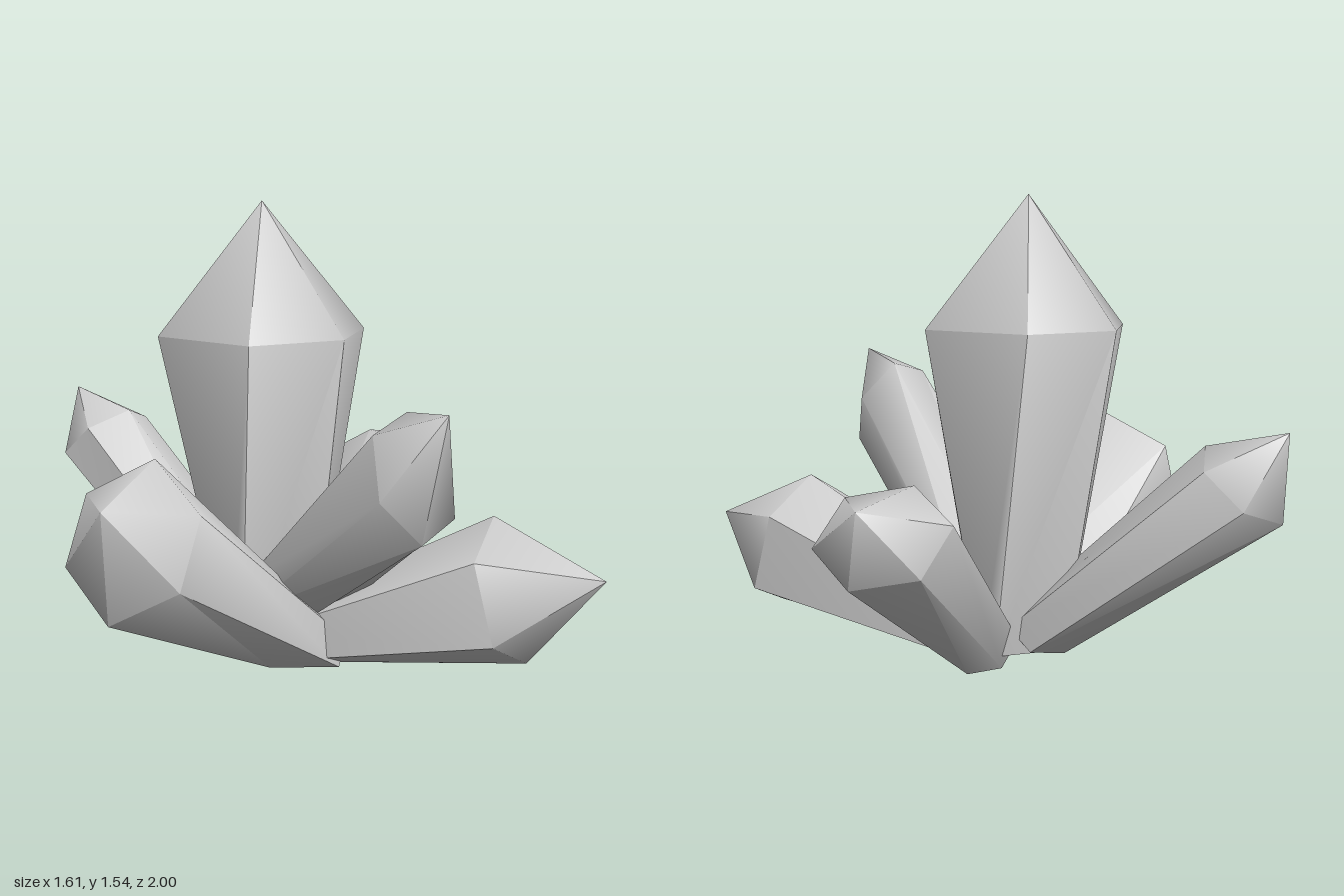
import * as THREE from 'three';
import { toCreasedNormals } from 'three/addons/utils/BufferGeometryUtils.js';

const CREASE = THREE.MathUtils.degToRad(57);

// Each crystal: shoulder centre, half-axes up and side, tip, root centre, root scale of [side, up],
// and how far along up the side corners sit at [shoulder, root]
const CRYSTALS = [
  { name: 'centreCrystal', ring: [-0.045, 1.12, -0.11], up: [0, 0, 0.325], side: [0.295, 0, 0],
    tip: [-0.05, 1.54, -0.11], root: [-0.02, 0.08, -0.1], scale: [0.62, 0.52], corner: [0.58, 0.15] },
  { name: 'backCrystal', ring: [-0.045, 0.685, -0.865], up: [0, 0.105, 0.125], side: [0.144, 0, 0],
    tip: [-0.05, 0.85, -1], root: [-0.04, 0.13, -0.18], scale: [1, 0.65], corner: [0.5, 0.5] },
  { name: 'leftCrystal', ring: [0.68, 0.565, -0.085], up: [-0.115, 0.135, -0.03], side: [0.013, 0.022, 0.186],
    tip: [0.8, 0.66, -0.09], root: [0.1, 0.085, -0.04], scale: [0.52, 0.6], corner: [0.5, 0.5] },
  { name: 'rightCrystal', ring: [-0.665, 0.555, -0.105], up: [0.105, 0.235, 0], side: [0.035, -0.009, 0.205],
    tip: [-0.81, 0.68, -0.08], root: [-0.11, 0.12, 0], scale: [1.15, 0.4], corner: [0.45, 0.45] },
  { name: 'frontCrystal', ring: [0.16, 0.36, 0.71], up: [-0.01, 0.23, -0.06], side: [0.208, -0.009, -0.026],
    tip: [0.22, 0.43, 1], root: [-0.01, 0.1, -0.02], scale: [0.8, 0.42], corner: [0.55, 0.5] },
  { name: 'frontRightCrystal', ring: [-0.28, 0.79, 0.635], up: [0.085, 0.165, -0.085], side: [0.126, -0.041, 0.043],
    tip: [-0.32, 0.99, 0.77], root: [-0.02, 0.2, -0.05], scale: [1.15, 0.5], corner: [0.5, 0.5] },
];

const vec = (a) => new THREE.Vector3(...a);

// Six corners: one at each end of up, and two on each side
function makeRing(centre, up, side, corner) {
  const steps = [[1, 0], [corner, 1], [-corner, 1], [-1, 0], [-corner, -1], [corner, -1]];
  return steps.map(([u, s]) => centre.clone().addScaledVector(up, u).addScaledVector(side, s));
}

// Tapered shaft with a pointed cap and a closed root
function crystalGeometry(c) {
  const centre = vec(c.ring), root = vec(c.root), tip = vec(c.tip);
  const up = vec(c.up), side = vec(c.side);
  // Keep the ring turning anticlockwise as seen from the tip
  if (up.clone().cross(side).dot(tip.clone().sub(centre)) < 0) side.negate();
  const top = makeRing(centre, up, side, c.corner[0]);
  const base = makeRing(root, up.clone().multiplyScalar(c.scale[1]),
    side.clone().multiplyScalar(c.scale[0]), c.corner[1]);

  const points = [];
  top.forEach((corner, i) => {
    const j = (i + 1) % top.length;
    points.push(base[i], base[j], top[j], base[i], top[j], corner); // shaft
    points.push(corner, top[j], tip); // point
    points.push(base[j], base[i], root); // root
  });
  return toCreasedNormals(new THREE.BufferGeometry().setFromPoints(points), CREASE);
}

export function createModel() {
  const group = new THREE.Group();
  group.name = 'crystalCluster';
  const material = new THREE.MeshStandardMaterial({ color: 0xcccccc });
  for (const c of CRYSTALS) {
    const mesh = new THREE.Mesh(crystalGeometry(c), material);
    mesh.name = c.name;
    group.add(mesh);
  }
  return group;
}
